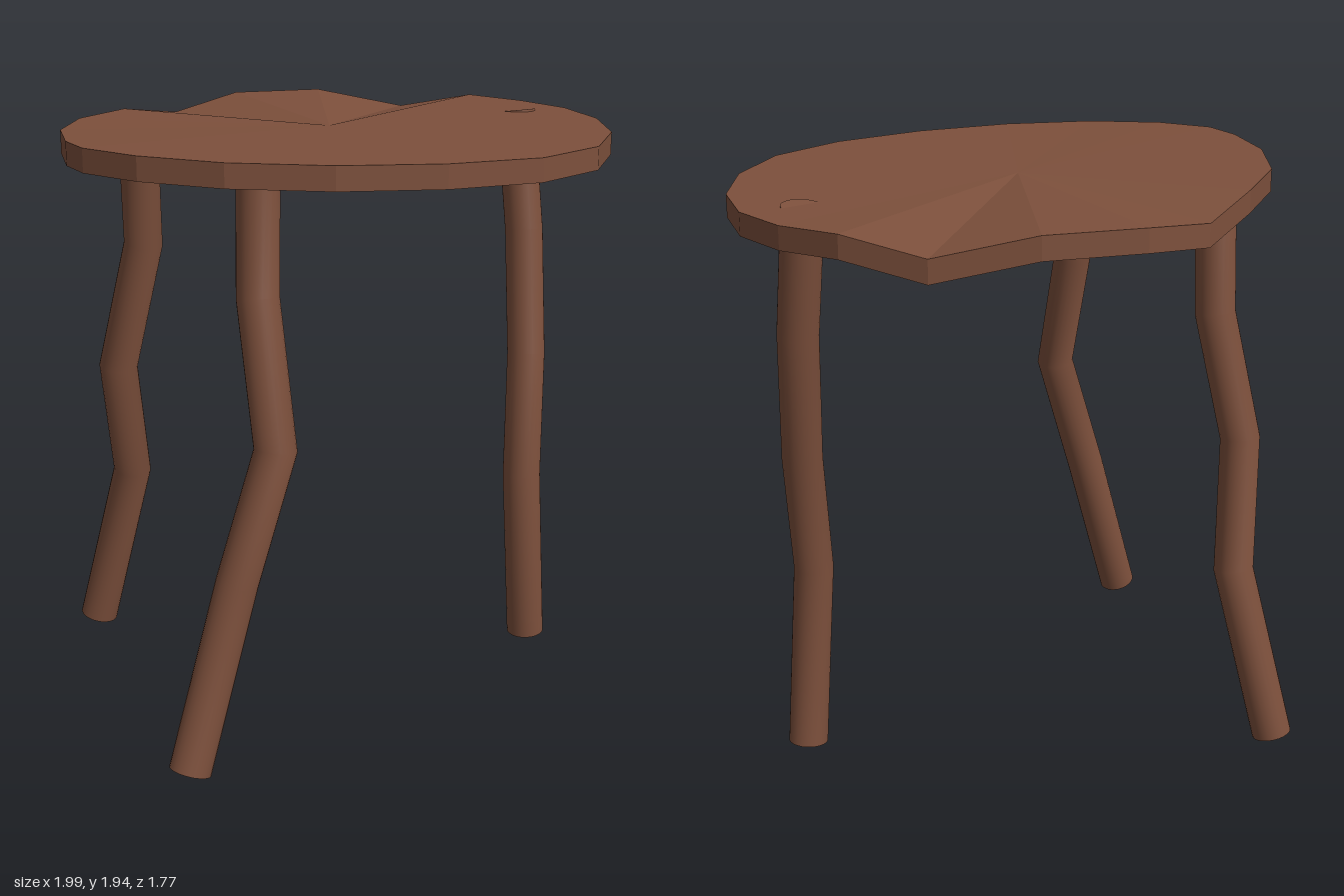
import * as THREE from 'three';
import { toCreasedNormals } from 'three/addons/utils/BufferGeometryUtils.js';

const LEG_RADIUS = 0.066;
const SEAT_THICKNESS = 0.073;

// Seat rim, counter-clockwise from above: x, height of the top edge, z
const RIM = [
  [0.995, 1.908, -0.03], [0.96, 1.912, -0.25], [0.84, 1.86, -0.485], [0.61, 1.922, -0.695],
  [0.33, 1.922, -0.84], [0.02, 1.883, -0.81], [-0.27, 1.93, -0.73], [-0.555, 1.94, -0.595],
  [-0.785, 1.949, -0.38], [-0.93, 1.956, -0.15], [-0.98, 1.959, 0], [-0.945, 1.957, 0.205],
  [-0.82, 1.951, 0.435], [-0.595, 1.942, 0.645], [-0.305, 1.932, 0.8], [0.015, 1.922, 0.88],
  [0.325, 1.916, 0.84], [0.605, 1.912, 0.675], [0.83, 1.909, 0.44], [0.96, 1.908, 0.2],
];

// Leg centre lines from the foot up to the seat
const LEGS = {
  frontLeftLeg: [[0.703, 0.022, 0.315], [0.645, 0.65, 0.32], [0.72, 1.07, 0.26], [0.77, 1.5, 0.19], [0.783, 1.909, 0.125]],
  frontRightLeg: [[-0.935, 0.09, 0.36], [-0.735, 0.65, 0.36], [-0.635, 1.07, 0.43], [-0.578, 1.5, 0.295], [-0.55, 1.9, 0.27]],
  backLeg: [[-0.395, 0.06, -0.825], [-0.32, 0.65, -0.69], [-0.417, 1.07, -0.62], [-0.342, 1.5, -0.555], [-0.392, 1.89, -0.5]],
};

// Slab with a wavy rim: fans on top and bottom, a band around the side
function seatGeometry() {
  const positions = [];
  const lower = ([x, y, z]) => [x, y - SEAT_THICKNESS, z];
  const centre = [0, 1.923, 0];
  const triangle = (a, b, c) => positions.push(...a, ...b, ...c);
  RIM.forEach((a, i) => {
    const b = RIM[(i + 1) % RIM.length];
    triangle(centre, a, b);
    triangle(lower(centre), lower(b), lower(a));
    triangle(lower(a), lower(b), b);
    triangle(lower(a), b, a);
  });
  const geometry = new THREE.BufferGeometry();
  geometry.setAttribute('position', new THREE.Float32BufferAttribute(positions, 3));
  geometry.computeVertexNormals();
  return geometry;
}

// Cylinder whose rings are moved onto a bent path, mitred at each joint
function legGeometry(points) {
  const path = points.map((p) => new THREE.Vector3(...p));
  const last = path.length - 1;
  const up = new THREE.Vector3(0, 1, 0);
  const turns = path.map((p, i) => {
    const direction = new THREE.Vector3();
    if (i > 0) direction.add(p.clone().sub(path[i - 1]).normalize());
    if (i < last) direction.add(path[i + 1].clone().sub(p).normalize());
    return new THREE.Quaternion().setFromUnitVectors(up, direction.normalize());
  });
  const geometry = new THREE.CylinderGeometry(LEG_RADIUS, LEG_RADIUS, last, 24, last);
  const position = geometry.attributes.position;
  const v = new THREE.Vector3();
  for (let i = 0; i < position.count; i++) {
    v.fromBufferAttribute(position, i);
    const ring = Math.round(v.y + last / 2);
    v.setY(0).applyQuaternion(turns[ring]).add(path[ring]);
    position.setXYZ(i, v.x, v.y, v.z);
  }
  return toCreasedNormals(geometry, Math.PI / 4);
}

export function createModel() {
  const group = new THREE.Group();
  group.name = 'stool';
  const wood = new THREE.MeshStandardMaterial({ color: 0x7d503c });
  wood.name = 'brown wood';

  const seat = new THREE.Mesh(seatGeometry(), wood);
  seat.name = 'seat';
  group.add(seat);

  for (const [name, points] of Object.entries(LEGS)) {
    const leg = new THREE.Mesh(legGeometry(points), wood);
    leg.name = name;
    group.add(leg);
  }
  return group;
}
